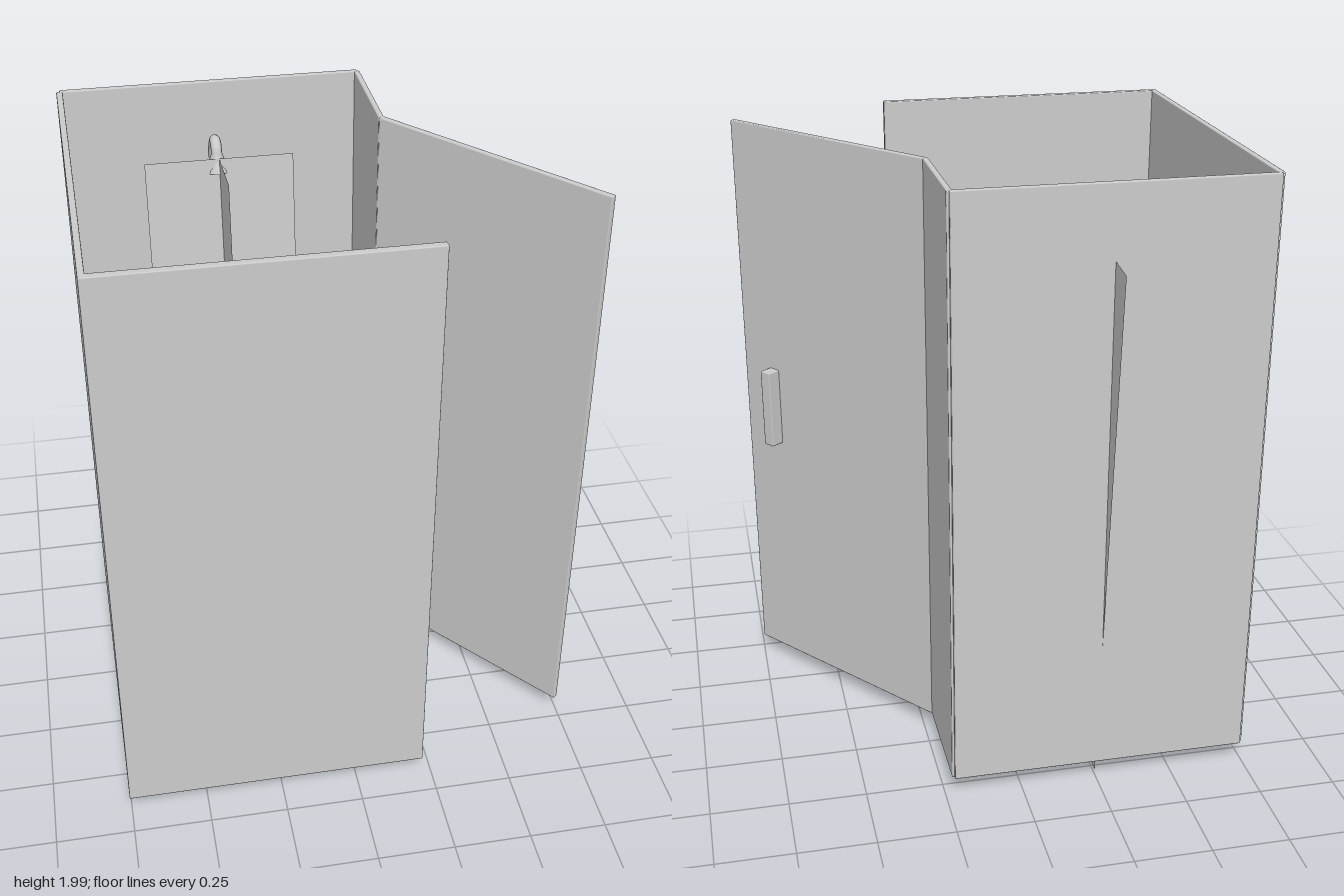
import * as THREE from 'three';
import { RoundedBoxGeometry } from 'three/addons/geometries/RoundedBoxGeometry.js';

export function createModel() {
  const root = new THREE.Group();
  root.name = 'showerCabin';
  const grey = new THREE.MeshStandardMaterial({ color: 0xcccccc, side: THREE.DoubleSide });
  grey.name = 'grey';

  const add = (name, geometry, parent = root) => {
    const mesh = new THREE.Mesh(geometry, grey);
    mesh.name = name;
    parent.add(mesh);
    return mesh;
  };
  // Panel with slightly rounded edges, given by its minimum and maximum corners
  const panel = (name, a, b, parent = root) => {
    const size = b.map((v, i) => v - a[i]);
    const mesh = add(name, new RoundedBoxGeometry(...size, 1, 0.004), parent);
    mesh.position.set(...a.map((v, i) => (v + b[i]) / 2));
    return mesh;
  };

  // Tray and fixed walls; the front part of the right side stays open
  const bottom = 0.07, top = 2;
  panel('floor', [-0.745, bottom, -0.56], [0.22, bottom + 0.012, 0.66]);
  panel('leftWall', [-0.755, bottom, -0.553], [-0.735, top, 0.67]);
  panel('backWall', [-0.745, bottom, -0.567], [0.22, top, -0.548]);
  panel('frontWall', [-0.745, bottom, 0.645], [0.22, top, 0.67]);
  panel('sideWall', [0.21, bottom, -0.555], [0.228, top, -0.172]);

  // Door swung open on its hinge, with a handle on the outer side
  const door = new THREE.Group();
  door.name = 'door';
  door.position.set(0.218, 0, -0.178);
  door.rotation.y = Math.atan2(0.525, 0.65);
  root.add(door);
  panel('doorPanel', [-0.01, bottom, 0], [0.01, top, 0.835], door);
  panel('doorHandle', [0.008, 0.9, 0.672], [0.056, 1.17, 0.714], door);

  // Curved pipe and shower head
  const pipe = new THREE.CatmullRomCurve3([
    [-0.55, 1.74], [-0.53, 1.79], [-0.495, 1.82], [-0.465, 1.81], [-0.453, 1.78],
  ].map(([z, y]) => new THREE.Vector3(-0.262, y, z)));
  add('showerPipe', new THREE.TubeGeometry(pipe, 16, 0.018, 10));
  const head = add('showerHead', new THREE.CylinderGeometry(0.018, 0.038, 0.06, 8));
  head.position.set(-0.262, 1.76, -0.455);
  head.rotation.x = -0.085;

  // Two flared tap knobs on the back wall
  for (const x of [-0.325, -0.195]) {
    const knob = add('tapKnob', new THREE.CylinderGeometry(0.016, 0.006, 0.042, 10));
    knob.position.set(x, 1.0, -0.528);
    knob.rotation.x = Math.PI / 2;
  }

  // Spray made of two crossed, tilted sheets
  const spray = new THREE.Group();
  spray.name = 'waterSpray';
  spray.position.set(-0.257, 0.905, -0.358);
  spray.rotation.x = -0.085;
  root.add(spray);
  for (const turn of [0, Math.PI / 2]) {
    add('waterSheet', new THREE.PlaneGeometry(0.485, 1.76), spray).rotation.y = turn;
  }
  return root;
}
